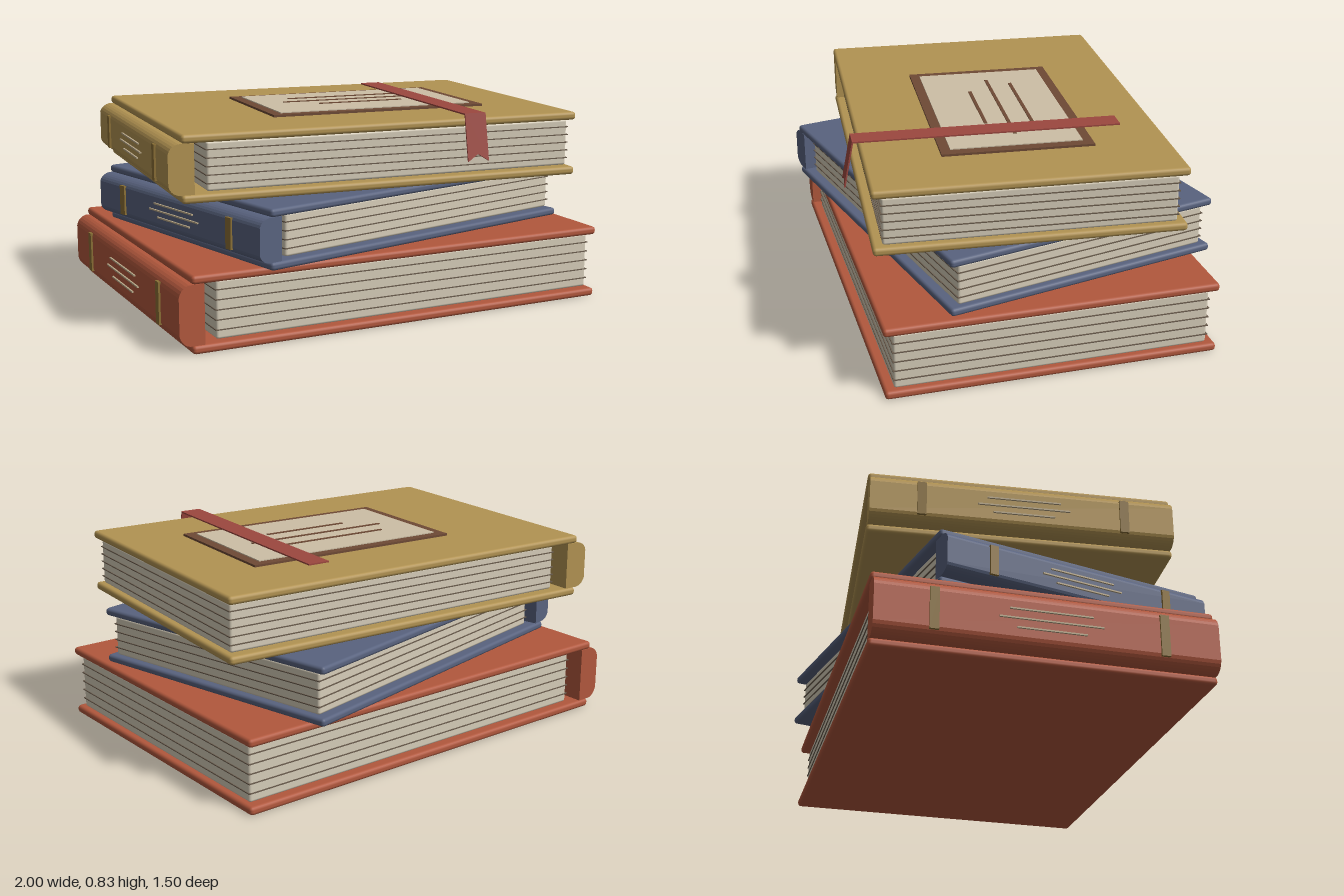
import * as THREE from 'three';
import { RoundedBoxGeometry } from 'three/addons/geometries/RoundedBoxGeometry.js';

const material = (color, side = THREE.FrontSide) =>
  new THREE.MeshStandardMaterial({ color, side });
const paper = material(0xd6cdb9);
const pageLine = material(0x6b5d4e);
const bandGold = material(0x8a6f35);
const titlePale = material(0xb9a888);
const labelBrown = material(0x6e4a35);
const labelCream = material(0xcdbfa6);
const ribbonRed = material(0x9c473f, THREE.DoubleSide);

function add(parent, name, geometry, mat, x = 0, y = 0, z = 0) {
  const mesh = new THREE.Mesh(geometry, mat);
  mesh.name = name;
  mesh.position.set(x, y, z);
  parent.add(mesh);
  return mesh;
}
const box = (w, h, d) => new THREE.BoxGeometry(w, h, d);
const rounded = (w, h, d, r) => new RoundedBoxGeometry(w, h, d, 2, r);

// A closed book: width along x (spine at -x), depth along z, standing on y = 0
function makeBook(name, { width, depth, height, board, gap, color, lines }) {
  const book = new THREE.Group();
  book.name = name;
  const cloth = material(color);
  const inner = height - 2 * board;
  const mid = height / 2;
  const left = -width / 2;

  // Boards
  add(book, 'bottomCover', rounded(width, board, depth, board * 0.4), cloth, 0, board / 2, 0);
  add(book, 'topCover', rounded(width, board, depth, board * 0.4), cloth, 0, height - board / 2, 0);

  // Page block with thin leaf lines standing just proud of it
  const pageW = width - gap - 0.021;
  const pageX = left + gap + pageW / 2;
  const pageD = depth - 0.076;
  add(book, 'pages', rounded(pageW, inner - 0.004, pageD, 0.01), paper, pageX, mid, 0);
  for (let i = 1; i <= lines; i++) {
    const y = board + (inner * i) / (lines + 1);
    add(book, 'pageLine', box(pageW + 0.008, 0.004, pageD + 0.008), pageLine, pageX, y, 0);
  }

  // Spine: a block with a softly rounded outer side
  const out = -0.052, into = 0.05, h = inner / 2, flat = h * 0.62;
  const profile = new THREE.Shape();
  profile.moveTo(into, -h);
  profile.lineTo(into, h);
  profile.lineTo(-0.01, h);
  profile.quadraticCurveTo(out + 0.008, h * 0.93, out, flat);
  profile.lineTo(out, -flat);
  profile.quadraticCurveTo(out + 0.008, -h * 0.93, -0.01, -h);
  const spineD = depth - 0.012;
  const spineGeo = new THREE.ExtrudeGeometry(profile, { depth: spineD, bevelEnabled: false, curveSegments: 5 });
  spineGeo.translate(0, 0, -spineD / 2);
  add(book, 'spine', spineGeo, cloth, left, mid, 0);

  // Raised bands and title rules on the spine
  for (const s of [-1, 1]) {
    add(book, 'spineBand', box(0.022, inner * 0.72, 0.036), bandGold, left + out + 0.003, mid, s * depth * 0.33);
  }
  [0.24, 0.3, 0.2].forEach((length, i) => {
    add(book, 'spineTitleRule', box(0.01, 0.006, depth * length), titlePale,
      left + out - 0.002, mid + (1 - i) * inner * 0.16, 0);
  });
  return book;
}

// Framed label with three plain rules
function makeLabel(top) {
  const label = new THREE.Group();
  label.name = 'coverLabel';
  label.position.set(0.094, top, 0);
  add(label, 'labelFrame', box(0.944, 0.01, 0.61), labelBrown, 0, 0.004, 0);
  add(label, 'labelPanel', box(0.86, 0.01, 0.53), labelCream, 0, 0.008, 0);
  [[0.53, -0.11], [0.64, -0.015], [0.38, 0.08]].forEach(([length, z]) =>
    add(label, 'labelRule', box(length, 0.004, 0.014), labelBrown, 0, 0.014, z));
  return label;
}

// Ribbon lying over the cover, with a swallow-tailed end hanging in front
function makeRibbon(top) {
  const ribbon = new THREE.Group();
  ribbon.name = 'ribbon';
  ribbon.position.set(0.362, top + 0.02, 0);
  add(ribbon, 'ribbonStrip', box(0.092, 0.006, 1.085), ribbonRed, 0, 0, 0.0925);

  const tail = new THREE.Shape();
  [[-0.046, 0], [-0.046, -0.195], [0, -0.165], [0.046, -0.195], [0.046, 0]]
    .forEach(([x, y], i) => (i ? tail.lineTo(x, y) : tail.moveTo(x, y)));
  const tailGeo = new THREE.ExtrudeGeometry(tail, { depth: 0.006, bevelEnabled: false });
  const mesh = add(ribbon, 'ribbonTail', tailGeo, ribbonRed, 0, 0.003, 0.629);
  mesh.rotation.x = -0.2;
  return ribbon;
}

export function createModel() {
  const model = new THREE.Group();
  model.name = 'bookStack';

  const red = makeBook('bottomBook', {
    width: 1.84, depth: 1.354, height: 0.305, board: 0.034, gap: 0.108, color: 0xb2583d, lines: 5,
  });
  red.position.set(0.02, 0, -0.005);
  red.rotation.y = -0.085;

  const blue = makeBook('middleBook', {
    width: 1.565, depth: 1.19, height: 0.237, board: 0.032, gap: 0.092, color: 0x59637f, lines: 4,
  });
  blue.position.set(0.025, 0.307, -0.005);
  blue.rotation.y = 0.135;

  const gold = makeBook('topBook', {
    width: 1.695, depth: 1.218, height: 0.265, board: 0.034, gap: 0.107, color: 0xb29352, lines: 5,
  });
  gold.position.set(0.02, 0.545, -0.005);
  gold.rotation.y = -0.173;
  gold.add(makeLabel(0.265), makeRibbon(0.265));

  model.add(red, blue, gold);
  return model;
}
